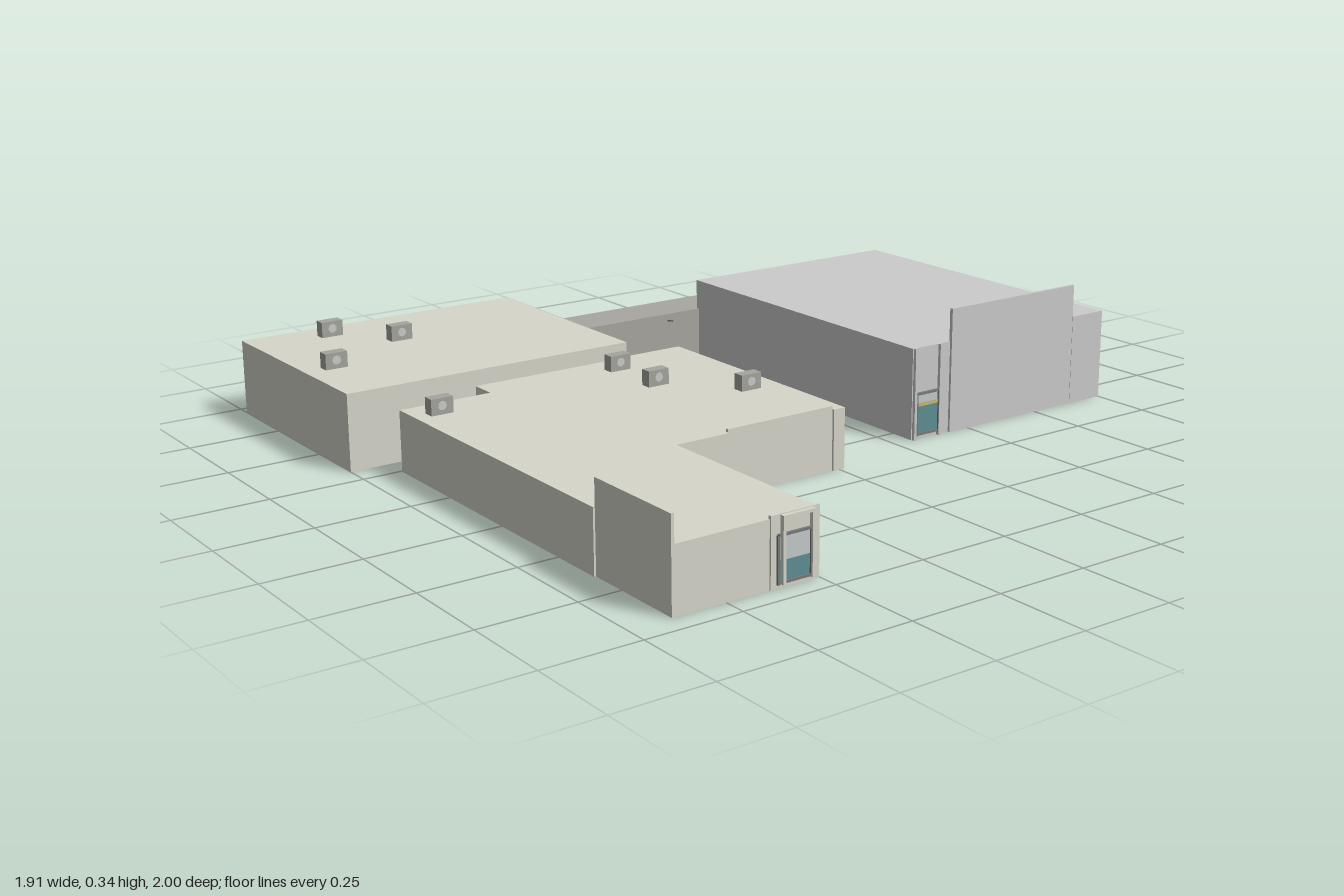
import * as THREE from 'three';

const mat = (color) => new THREE.MeshStandardMaterial({ color });
const cream = mat(0xd6d6ca);
const grey = mat(0xcccccc);
const dark = mat(0xa9a7a0);
const unitGrey = mat(0xa6a6a0);
const frameGrey = mat(0x77797a);
const glass = mat(0x5f8f95);
const paleGlass = mat(0xc4cccb);
const yellow = mat(0xc9b878);

// Box given by its limits on each axis
function box(name, [x0, x1], [y0, y1], [z0, z1], material) {
  const mesh = new THREE.Mesh(new THREE.BoxGeometry(x1 - x0, y1 - y0, z1 - z0), material);
  mesh.position.set((x0 + x1) / 2, (y0 + y1) / 2, (z0 + z1) / 2);
  mesh.name = name;
  return mesh;
}

// Upright block over an outline of [x, z] corners
function block(name, outline, height, material) {
  const shape = new THREE.Shape(outline.map(([x, z]) => new THREE.Vector2(x, -z)));
  const geo = new THREE.ExtrudeGeometry(shape, { depth: height, bevelEnabled: false });
  geo.rotateX(-Math.PI / 2);
  const mesh = new THREE.Mesh(geo, material);
  mesh.name = name;
  return mesh;
}

// Rooftop ventilation unit with a round grille at both long sides
function roofUnit(x, y, z) {
  const unit = new THREE.Group();
  unit.name = 'roofUnit';
  unit.add(box('unitCasing', [-0.016, 0.016], [0, 0.043], [-0.031, 0.031], unitGrey));
  for (const side of [-1, 1]) {
    const grille = new THREE.Mesh(new THREE.CylinderGeometry(0.012, 0.012, 0.001, 16), grey);
    grille.rotation.z = Math.PI / 2;
    grille.position.set(side * 0.0162, 0.023, 0);
    grille.name = 'unitGrille';
    unit.add(grille);
  }
  unit.position.set(x, y, z);
  return unit;
}

// Glazed entrance facing +x, with panes, frame bars and a thin canopy
function entrance(name, x, z0, z1, glassTop, top, trim) {
  const door = new THREE.Group();
  door.name = name;
  const front = [x, x + 0.008];
  door.add(box('lowerPane', [x, x + 0.004], [0.016, glassTop], [z0, z1], glass));
  door.add(box('upperPane', [x, x + 0.004], [glassTop, top], [z0, z1], paleGlass));
  if (trim) door.add(box('paneBand', [x, x + 0.005], [glassTop, glassTop + 0.01], [z0, z1], yellow));
  for (const z of [z0, z1]) door.add(box('doorJamb', front, [0.01, top], [z - 0.003, z + 0.003], frameGrey));
  for (const y of [0.014, top]) door.add(box('doorRail', front, [y - 0.003, y + 0.003], [z0, z1], frameGrey));
  return door;
}

export function createModel() {
  const model = new THREE.Group();
  model.name = 'buildingComplex';

  // Warehouse at the back with its tall sign wall
  model.add(block('warehouse', [
    [-0.65, -1], [0.333, -1], [0.333, -0.885], [0.325, -0.885],
    [0.325, -0.305], [-0.65, -0.305],
  ], 0.25, grey));
  model.add(box('warehouseParapet', [0.322, 0.332], [0, 0.34], [-0.885, -0.435], grey));
  model.add(entrance('warehouseEntrance', 0.325, -0.395, -0.318, 0.09, 0.125, true));
  for (const z of [-0.398, -0.312])
    model.add(box('entrancePost', [0.325, 0.334], [0, 0.25], [z - 0.004, z + 0.004], grey));

  // Connecting corridor
  model.add(box('corridor', [-0.78, -0.64], [0, 0.165], [-0.64, 0.168], dark));
  for (const [x, z] of [[-0.79, -0.14], [-0.637, -0.195]]) {
    const arm = box('wallArm', [-0.013, 0.013], [-0.002, 0.002], [-0.002, 0.002], frameGrey);
    arm.position.set(x, 0.145, z);
    arm.rotation.y = 0.6;
    model.add(arm);
  }

  // Square wing
  model.add(box('westWing', [-0.96, -0.32], [0, 0.205], [0.165, 1], cream));

  // Main building, with a shallow recess in its side wall
  model.add(block('mainBuilding', [
    [-0.33, -0.015], [0.4, -0.015], [0.4, 0.02], [0.39, 0.02], [0.39, 0.345],
    [0.4, 0.345], [0.4, 0.5], [0.94, 0.5], [0.94, 0.888], [0.65, 0.888],
    [0.65, 0.895], [-0.245, 0.895], [-0.245, 0.635], [-0.32, 0.635],
    [-0.32, 0.165], [-0.33, 0.165],
  ], 0.162, cream));
  model.add(box('sideParapet', [0.385, 0.394], [0, 0.17], [0.02, 0.345], cream));
  model.add(box('frontParapet', [0.65, 0.94], [0, 0.23], [0.882, 0.89], cream));

  // Street entrance with projecting surround
  model.add(entrance('mainEntrance', 0.942, 0.527, 0.617, 0.064, 0.123, false));
  model.add(box('entranceBacking', [0.936, 0.944], [0, 0.17], [0.502, 0.635], cream));
  for (const z of [0.525, 0.605])
    model.add(box('surroundPost', [0.94, 0.955], [0.01, 0.168], [z - 0.004, z + 0.004], cream));
  model.add(box('surroundHead', [0.94, 0.955], [0.16, 0.168], [0.525, 0.605], cream));

  // Rooftop units
  for (const [x, z] of [[-0.87, 0.78], [-0.72, 0.645], [-0.565, 0.915]])
    model.add(roofUnit(x, 0.205, z));
  for (const [x, z] of [[-0.235, 0.25], [-0.055, 0.25], [0.12, 0.08], [-0.165, 0.825]])
    model.add(roofUnit(x, 0.162, z));

  return model;
}
